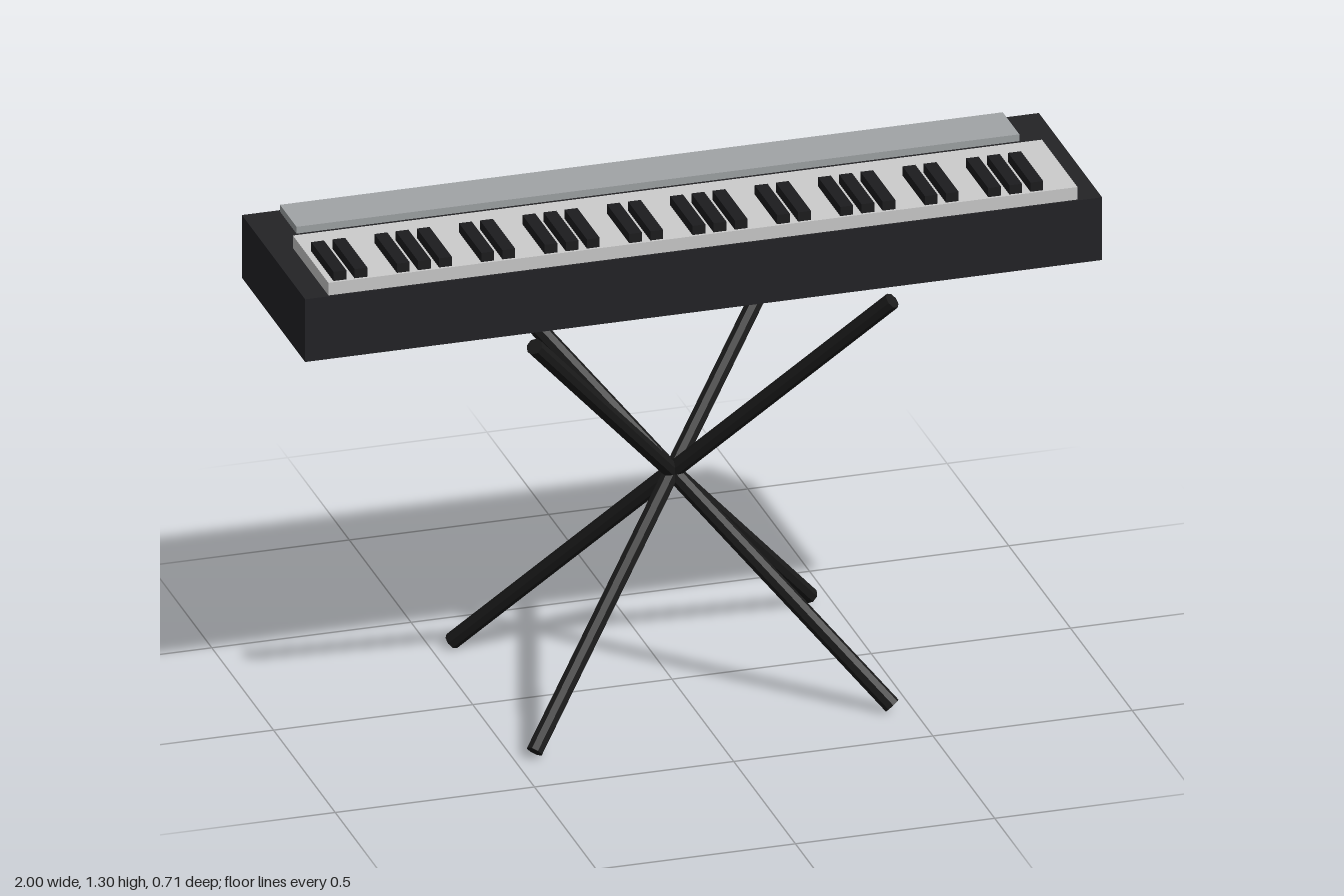
import * as THREE from 'three';

const mat = (color) => new THREE.MeshStandardMaterial({ color });

export function createModel() {
  const group = new THREE.Group();
  const bodyMat = mat(0x232326);
  const keyMat = mat(0xcccccc);
  const panelMat = mat(0xa0a4a6);
  const blackMat = mat(0x1c1c1e);
  const legMat = mat(0x1a1a1a);
  legMat.flatShading = true;

  // Box given by its minimum and maximum corners
  const block = (name, [x0, y0, z0], [x1, y1, z1], material, parent = group) => {
    const mesh = new THREE.Mesh(new THREE.BoxGeometry(x1 - x0, y1 - y0, z1 - z0), material);
    mesh.position.set((x0 + x1) / 2, (y0 + y1) / 2, (z0 + z1) / 2);
    mesh.name = name;
    parent.add(mesh);
  };

  // Case, white key bed and rear control panel
  block('body', [-1, 1.08, -0.256], [1, 1.245, 0.256], bodyMat);
  block('whiteKeys', [-0.94, 1.24, -0.037], [0.94, 1.278, 0.251], keyMat);
  block('controlPanel', [-0.907, 1.24, -0.248], [0.907, 1.263, -0.114], panelMat);

  // Black keys in groups of two and three, seven steps to the octave
  const blackKeys = new THREE.Group();
  blackKeys.name = 'blackKeys';
  group.add(blackKeys);
  for (let i = 0; i < 34; i++) {
    if (i % 7 === 2 || i % 7 === 6) continue;
    const x = -0.909 + i * 0.053;
    block('blackKey', [x - 0.016, 1.27, 0.063], [x + 0.016, 1.302, 0.244], blackMat, blackKeys);
  }

  // Stand: four straight rods crossing at one point
  const stand = new THREE.Group();
  stand.name = 'stand';
  group.add(stand);
  const up = new THREE.Vector3(0, 1, 0);
  for (const sx of [-1, 1]) {
    for (const sz of [-1, 1]) {
      const half = new THREE.Vector3(sx * 0.449, 0.533, sz * 0.335);
      const rod = new THREE.Mesh(new THREE.CylinderGeometry(0.021, 0.021, half.length() * 2, 8), legMat);
      rod.quaternion.setFromUnitVectors(up, half.clone().normalize());
      rod.position.y = 0.548;
      rod.name = 'standRod';
      stand.add(rod);
    }
  }
  return group;
}
